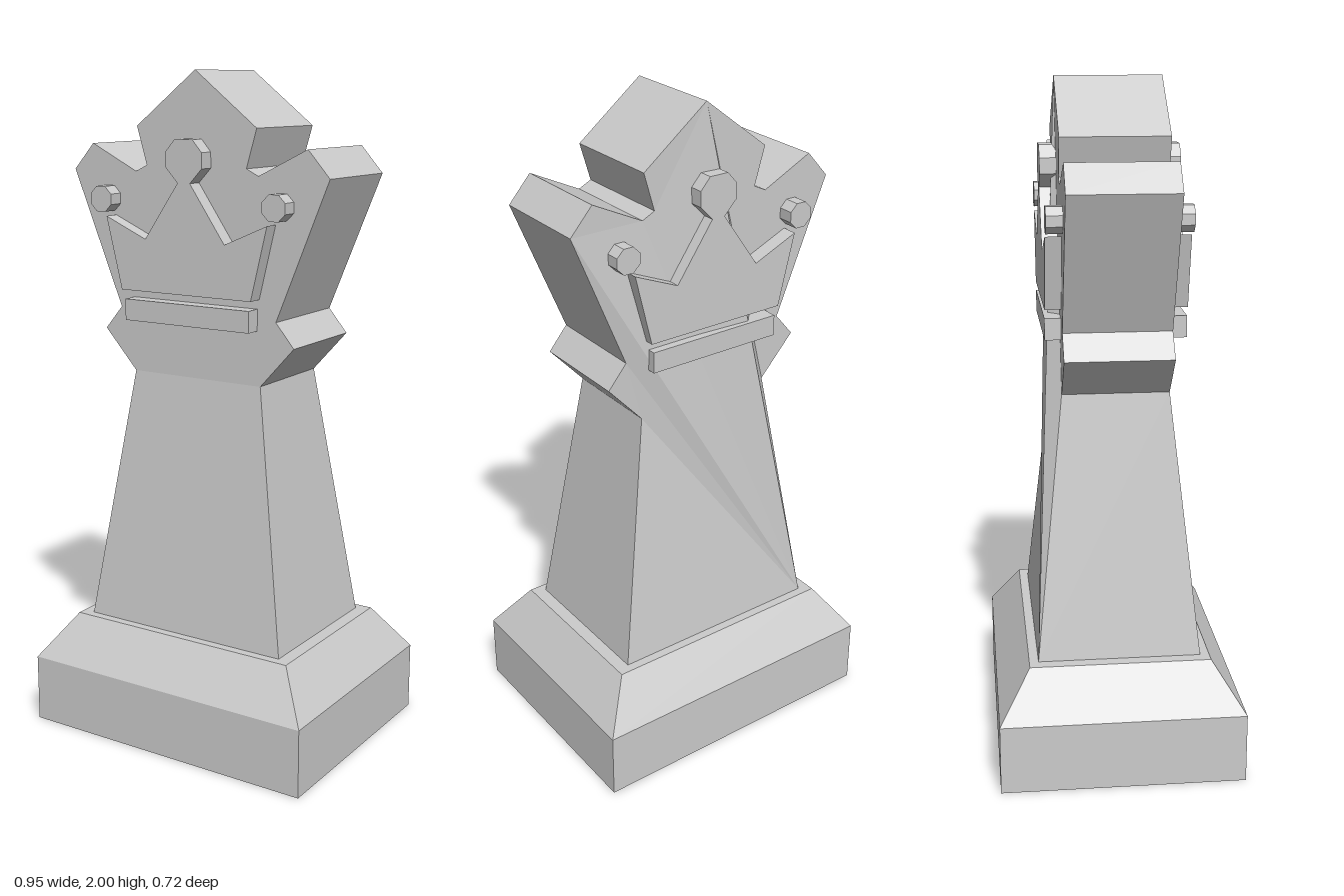
import * as THREE from 'three';

const material = new THREE.MeshStandardMaterial({ color: 0xcccccc, flatShading: true });

function part(name, geometry) {
  const mesh = new THREE.Mesh(geometry, material);
  mesh.name = name;
  return mesh;
}

// Closed polygon pushed through the piece so that it stands out on both sides
function relief(name, points, depth) {
  const shape = new THREE.Shape(points.map(([x, y]) => new THREE.Vector2(x, y)));
  const geometry = new THREE.ExtrudeGeometry(shape, { depth: 2 * depth, bevelEnabled: false });
  return part(name, geometry.translate(0, 0, -depth));
}

// Right half from the bottom up, then its mirror image going down
const mirrored = (half, cx) => [
  ...half.map(([x, y]) => [cx + x, y]),
  ...half.filter(([x]) => x > 0).reverse().map(([x, y]) => [cx - x, y]),
];

// Rectangular block tapering from one half-size to another
function taperedBlock(w0, d0, w1, d1, y0, y1) {
  const geometry = new THREE.BoxGeometry(2, y1 - y0, 2).translate(0, (y0 + y1) / 2, 0);
  const p = geometry.attributes.position;
  for (let i = 0; i < p.count; i++) {
    const top = p.getY(i) > (y0 + y1) / 2;
    p.setX(i, p.getX(i) * (top ? w1 : w0));
    p.setZ(i, p.getZ(i) * (top ? d1 : d0));
  }
  geometry.computeVertexNormals();
  return geometry;
}

// Tapered column and pointed head in one skin
function columnAndHead() {
  const half = [
    [0.337, 0.345], [0.219, 1.12], [0.328, 1.24], [0.269, 1.31], [0.434, 1.713],
    [0.365, 1.79], [0.209, 1.713], [0.17, 1.732], [0.203, 1.843], [0, 2],
  ];
  const ring = mirrored(half, -0.002);
  ring.unshift(ring.pop()); // start at the lower corner on the -x side
  const n = ring.length;
  const depth = (i) => (i < 2 ? 0.239 : 0.156);
  const corner = (i, side) => [ring[i][0], ring[i][1], side * depth(i)];
  const vertices = [];
  const add = (...corners) => corners.forEach((c) => vertices.push(...c));

  // Front: flat sloping column, flat upright head
  const front = [[0, 1, 2], [0, 2, n - 1]];
  const head = ring.slice(2).map(([x, y]) => new THREE.Vector2(x, y));
  THREE.ShapeUtils.triangulateShape(head, []).forEach((t) => front.push(t.map((i) => i + 2)));
  front.forEach(([a, b, c]) => add(corner(a, 1), corner(b, 1), corner(c, 1)));

  // Back: facets fan out from one lower corner, giving a slight bulge
  const back = [
    [0, 1, 2], [0, 2, 4], [2, 3, 4], [0, 4, 5], [0, 5, 7], [5, 6, 7],
    [0, 7, 8], [0, 8, 10], [8, 9, 10], [0, 10, 18], [10, 12, 18], [10, 11, 12],
    [12, 16, 18], [16, 17, 18], [12, 13, 16], [13, 15, 16], [13, 14, 15],
  ];
  back.forEach(([a, b, c]) => add(corner(a, -1), corner(c, -1), corner(b, -1)));

  // Walls around the outline
  for (let i = 0; i < n; i++) {
    const j = (i + 1) % n;
    add(corner(i, 1), corner(i, -1), corner(j, -1));
    add(corner(i, 1), corner(j, -1), corner(j, 1));
  }
  const geometry = new THREE.BufferGeometry();
  geometry.setAttribute('position', new THREE.Float32BufferAttribute(vertices, 3));
  geometry.computeVertexNormals();
  return geometry;
}

export function createModel() {
  const group = new THREE.Group();
  group.name = 'chessQueen';

  // Plinth with sloping upper edge
  group.add(part('plinth', taperedBlock(0.473, 0.359, 0.473, 0.359, 0, 0.207)));
  group.add(part('plinthSlope', taperedBlock(0.473, 0.359, 0.375, 0.266, 0.207, 0.345)));

  group.add(part('columnAndHead', columnAndHead()));

  // Crown emblem on both faces
  const cx = -0.011;
  const depth = 0.203;
  const crown = [
    [0.223, 1.37], [0.275, 1.583], [0.136, 1.523], [0.021, 1.688],
    [0.061, 1.73], [0.061, 1.775], [0.03, 1.81],
  ];
  group.add(relief('crown', mirrored(crown, cx), depth));
  group.add(relief('crownBand', mirrored([[0.214, 1.28], [0.214, 1.343]], cx + 0.003), depth));
  for (const side of [-1, 1]) {
    const ball = new THREE.CylinderGeometry(0.04, 0.04, 2 * depth, 8);
    ball.rotateY(Math.PI / 8).rotateX(Math.PI / 2).translate(cx + side * 0.295, 1.632, 0);
    group.add(part(side > 0 ? 'leftCrownBall' : 'rightCrownBall', ball));
  }
  return group;
}
